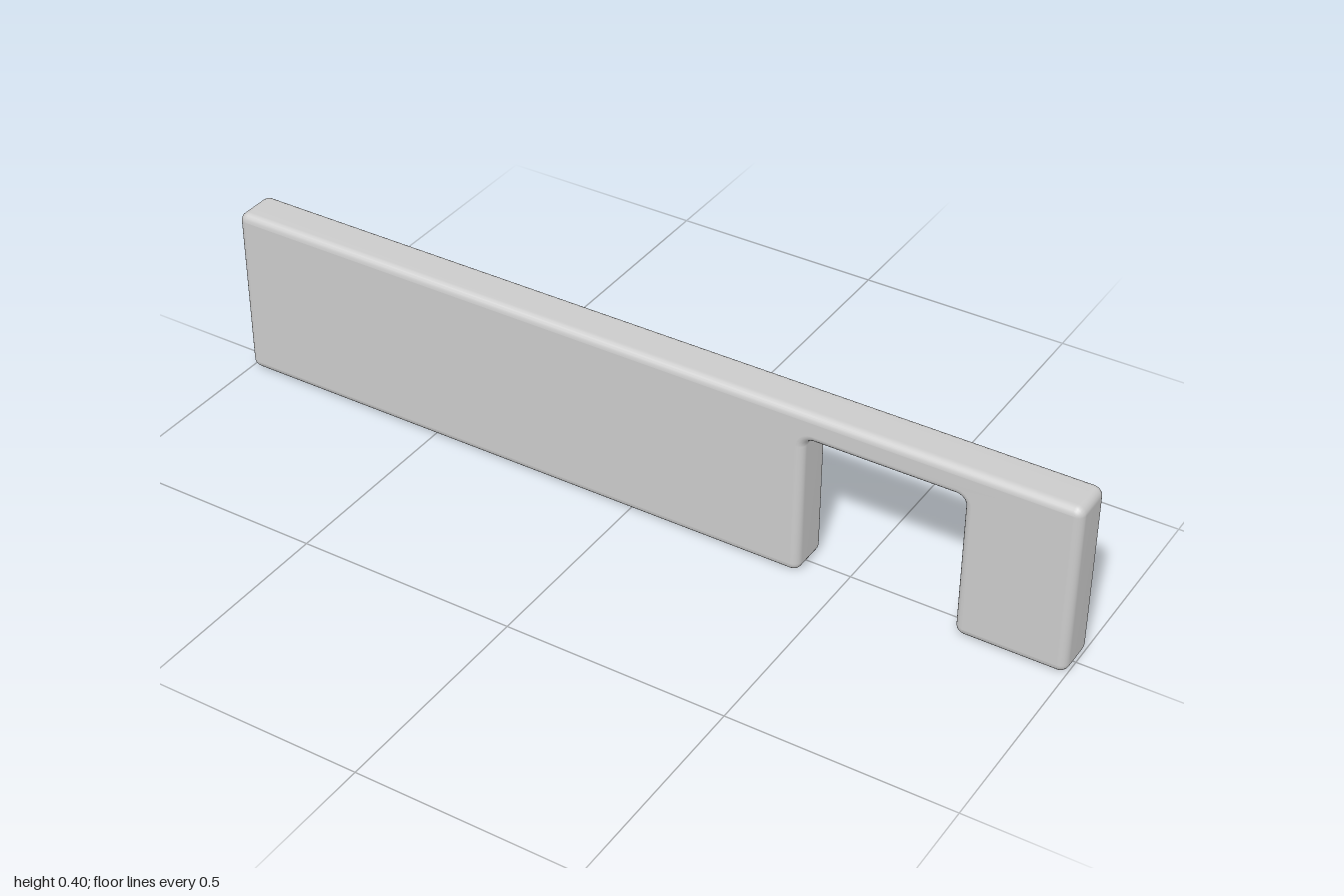
import * as THREE from 'three';
import { mergeVertices } from 'three/addons/utils/BufferGeometryUtils.js';

// Closed outline whose right-angled corners are replaced by small arcs
function roundedOutline(corners, radius, steps) {
  const pts = corners.map(([x, y]) => new THREE.Vector2(x, y));
  const n = pts.length;
  const out = [];
  pts.forEach((p, i) => {
    const dirIn = p.clone().sub(pts[(i + n - 1) % n]).normalize();
    const dirOut = pts[(i + 1) % n].clone().sub(p).normalize();
    const centre = p.clone().addScaledVector(dirIn, -radius).addScaledVector(dirOut, radius);
    for (let s = 0; s <= steps; s++) {
      const a = (s / steps) * Math.PI / 2;
      out.push(centre.clone()
        .addScaledVector(dirOut, -radius * Math.cos(a))
        .addScaledVector(dirIn, radius * Math.sin(a)));
    }
  });
  return new THREE.Shape(out);
}

export function createModel() {
  const group = new THREE.Group();
  const thickness = 0.1, bevel = 0.018;

  // Long panel with a rectangular notch near its left end, open at the bottom
  const shape = roundedOutline([
    [-1, 0], [0.405, 0], [0.405, 0.333], [0.757, 0.333],
    [0.757, 0], [1, 0], [1, 0.4], [-1, 0.4],
  ], 0.02, 5);

  let geometry = new THREE.ExtrudeGeometry(shape, {
    depth: thickness - 2 * bevel,
    bevelEnabled: true,
    bevelThickness: bevel,
    bevelSize: bevel,
    bevelOffset: -bevel,
    bevelSegments: 5,
  });
  geometry.translate(0, 0, bevel - thickness / 2);

  // Weld so the rounded edges shade smoothly into the flat faces
  geometry.deleteAttribute('normal');
  geometry.deleteAttribute('uv');
  geometry = mergeVertices(geometry, 1e-5);
  geometry.computeVertexNormals();

  const panel = new THREE.Mesh(geometry, new THREE.MeshStandardMaterial({ color: 0xcccccc }));
  panel.name = 'notchedPanel';
  group.add(panel);
  return group;
}
